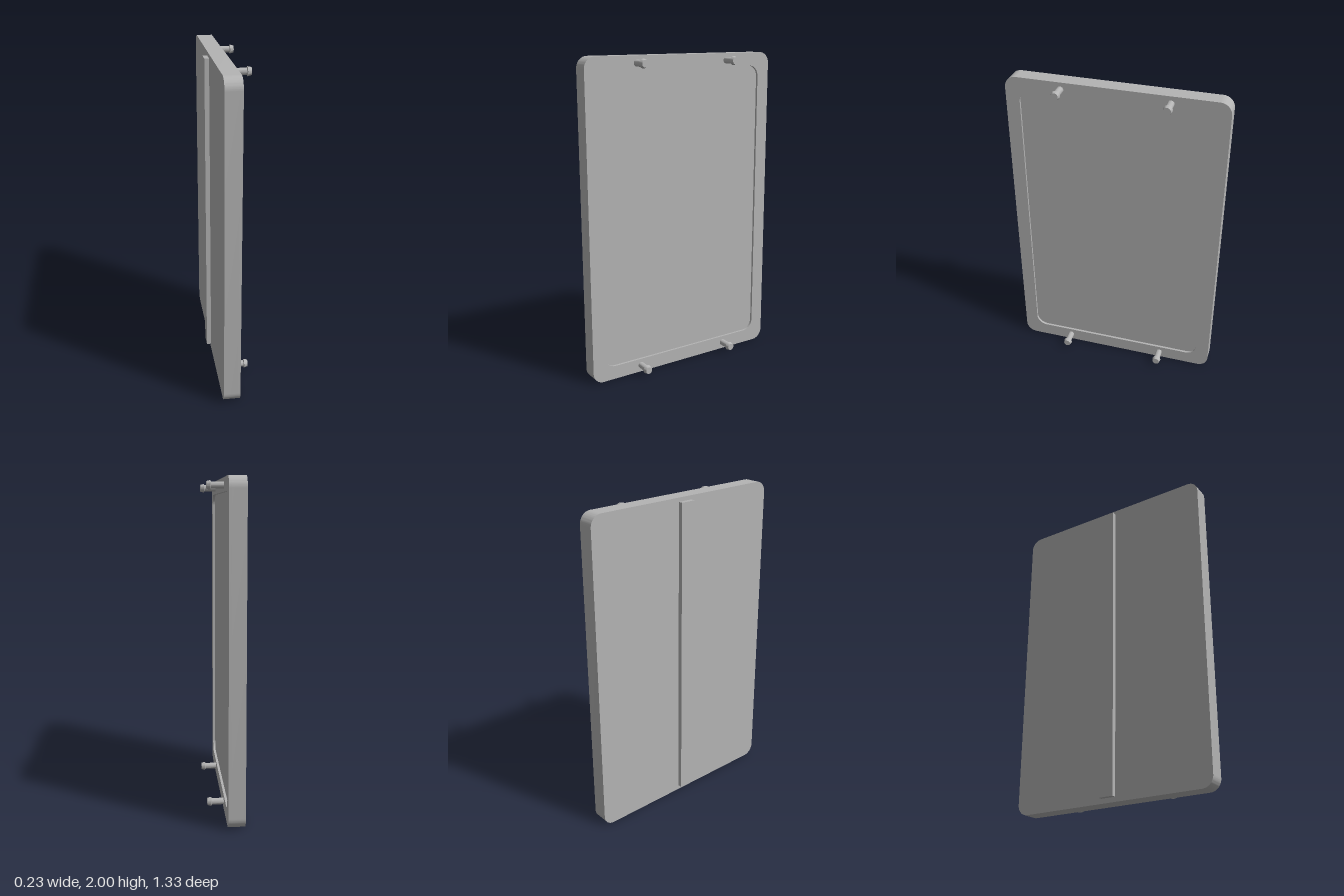
import * as THREE from 'three';
import { toCreasedNormals } from 'three/addons/utils/BufferGeometryUtils.js';

const BACK = -0.087, FRONT = 0.013, RECESS = 0.015;

// Rounded rectangle outline, x across and y up
function roundedRect(path, halfWidth, y0, y1, r) {
  const w = halfWidth;
  path.moveTo(-w + r, y0);
  path.lineTo(w - r, y0);
  path.absarc(w - r, y0 + r, r, -Math.PI / 2, 0);
  path.lineTo(w, y1 - r);
  path.absarc(w - r, y1 - r, r, 0, Math.PI / 2);
  path.lineTo(-w + r, y1);
  path.absarc(-w + r, y1 - r, r, Math.PI / 2, Math.PI);
  path.lineTo(-w, y0 + r);
  path.absarc(-w + r, y0 + r, r, Math.PI, Math.PI * 1.5);
  return path;
}

// Extrude an outline along +x from x0 to x1
function extrudeX(shape, x0, x1) {
  const geo = new THREE.ExtrudeGeometry(shape, { depth: x1 - x0, bevelEnabled: false, curveSegments: 12 });
  geo.rotateY(Math.PI / 2).translate(x0, 0, 0);
  return toCreasedNormals(geo, 0.6);
}

export function createModel() {
  const group = new THREE.Group();
  const grey = new THREE.MeshStandardMaterial({ color: 0xb4b4b4 });
  grey.name = 'grey';

  const add = (name, geometry) => {
    const mesh = new THREE.Mesh(geometry, grey);
    mesh.name = name;
    group.add(mesh);
    return mesh;
  };
  const outline = () => roundedRect(new THREE.Shape(), 0.665, 0, 2, 0.07);

  // Solid panel, with a raised rim around the shallow recess
  add('panel', extrudeX(outline(), BACK, FRONT - RECESS));
  const rim = outline();
  rim.holes.push(roundedRect(new THREE.Path(), 0.58, 0.087, 1.917, 0.07));
  add('rim', extrudeX(rim, FRONT - RECESS, FRONT));

  // Long rib down the back
  const rib = add('backRib', new THREE.BoxGeometry(0.028, 1.945, 0.095));
  rib.position.set(BACK - 0.014, 1.0025, -0.0025);

  // Four pegs with a flared, tapered head
  const profile = [[0, 0], [0.02, 0], [0.02, 0.073], [0.028, 0.077], [0.022, 0.1], [0, 0.1]]
    .map(([r, h]) => new THREE.Vector2(r, h));
  const pegGeometry = toCreasedNormals(
    new THREE.LatheGeometry(profile, 24).rotateZ(-Math.PI / 2).toNonIndexed(), 0.5);
  for (const y of [0.045, 1.956]) {
    for (const z of [-0.324, 0.324]) {
      add('peg', pegGeometry).position.set(FRONT, y, z);
    }
  }
  return group;
}
